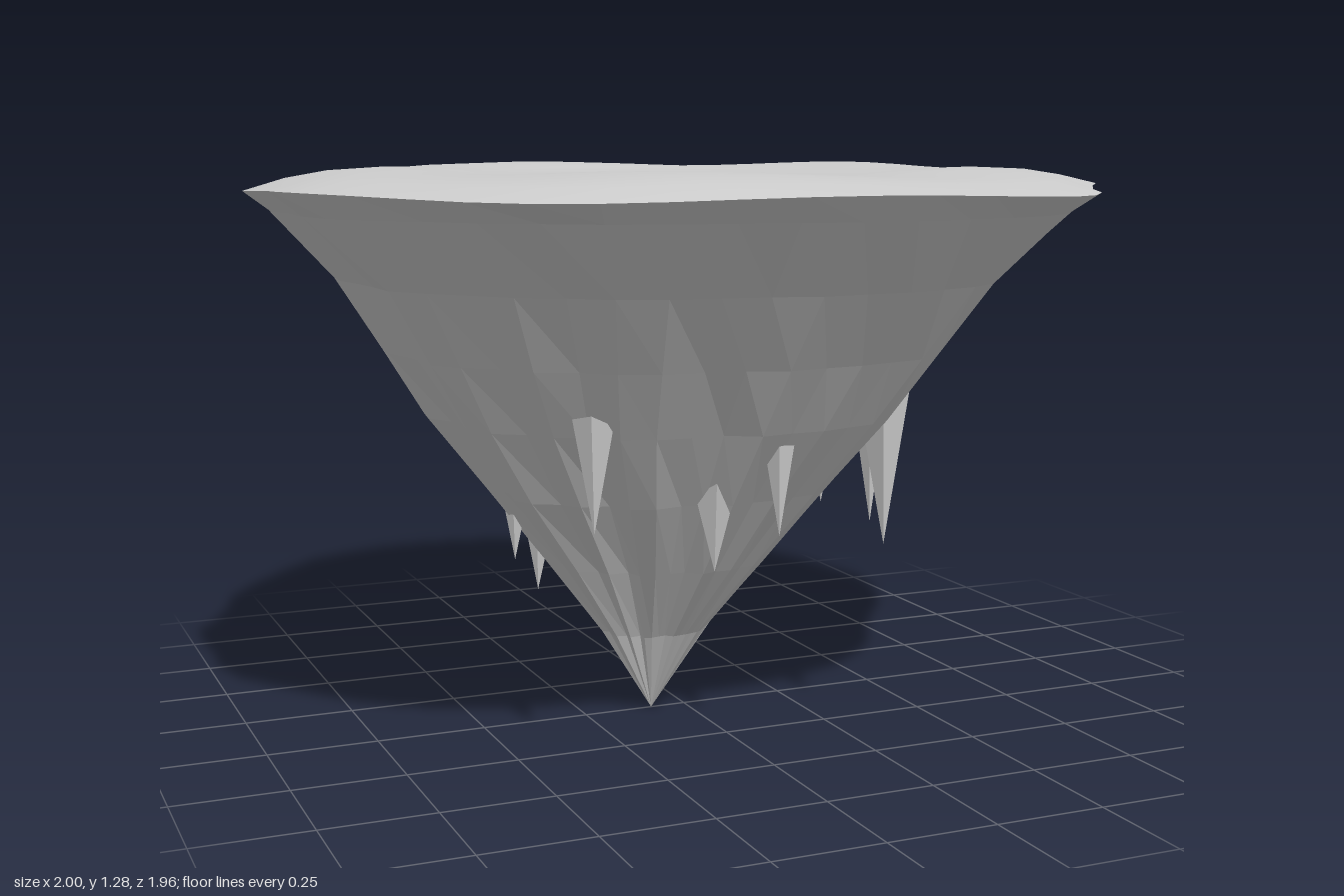
import * as THREE from 'three';

const stone = new THREE.MeshStandardMaterial({ color: 0xcccccc });
stone.name = 'grey stone';

// Rim outline as x, z pairs, running from +x towards +z
const OUTLINE = [
  [1, 0], [0.96, 0.2], [0.87, 0.38], [0.75, 0.53], [0.66, 0.7], [0.55, 0.82], [0.42, 0.9], [0.24, 0.955],
  [0, 0.975], [-0.14, 0.965], [-0.28, 0.94], [-0.45, 0.9], [-0.6, 0.83], [-0.71, 0.75], [-0.85, 0.58],
  [-0.96, 0.42], [-1, 0.31], [-0.985, 0.1], [-1, -0.08], [-0.89, -0.28], [-0.84, -0.46], [-0.77, -0.57],
  [-0.6, -0.77], [-0.53, -0.85], [-0.25, -0.97], [-0.06, -0.98], [0.05, -0.97], [0.25, -0.92],
  [0.5, -0.83], [0.63, -0.76], [0.84, -0.59], [0.9, -0.41], [0.95, -0.25], [0.97, -0.14],
];
const N = 48;
const RIM = new THREE.CatmullRomCurve3(OUTLINE.map(([x, z]) => new THREE.Vector3(x, 0, z)), true)
  .getSpacedPoints(N).slice(0, N).map((p) => [p.x, p.z]);
const APEX_X = -0.085;
const RIM_Y = 1.235;

let seed = 7;
const rand = () => {
  seed = (seed * 16807) % 2147483647;
  return seed / 2147483647 - 0.5;
};

const rimHeight = (j) => RIM_Y + 0.006 * Math.sin((j / N) * Math.PI * 10);

// Skin a list of closed rings, each an array of N points
function skin(rings) {
  const index = [];
  for (let i = 0; i < rings.length - 1; i++) {
    for (let j = 0; j < N; j++) {
      const k = (j + 1) % N;
      const a = i * N + j, b = i * N + k, c = a + N, d = b + N;
      index.push(a, b, c, b, d, c);
    }
  }
  const geo = new THREE.BufferGeometry();
  geo.setAttribute('position', new THREE.Float32BufferAttribute(rings.flat(2), 3));
  geo.setIndex(index);
  return geo;
}

function flat(geo) {
  const g = geo.toNonIndexed();
  g.computeVertexNormals();
  return g;
}

// Gently rolling ground: flat middle, low ring of swells, drooping rim
function makeGround() {
  const profile = [[0, 1.26], [0.25, 1.26], [0.46, 1.26], [0.53, 1.268], [0.6, 1.275],
    [0.7, 1.276], [0.82, 1.271], [0.91, 1.258], [1, RIM_Y]];
  const rings = profile.map(([t, y]) => RIM.map(([x, z], j) => {
    const a = Math.atan2(z, x);
    const swell = t > 0.46 && t < 1 ? 0.006 * Math.sin(a * 5 + t * 6) * Math.sin((t - 0.45) * 5.7) : 0;
    const r = t / (1 + (1 - t) * (Math.hypot(x, z) - 0.97));
    return [x * r, t === 1 ? rimHeight(j) : y + swell, z * r];
  }));
  const geo = skin(rings);
  geo.computeVertexNormals();
  return geo;
}

// Faceted rock tapering to an off-centre point: y, x scale, z scale per ring
function makeRock() {
  const profile = [[RIM_Y, 1, 1], [1.19, 0.94, 0.94], [1.04, 0.785, 0.785], [0.88, 0.67, 0.65],
    [0.73, 0.565, 0.53], [0.56, 0.42, 0.4], [0.38, 0.265, 0.255], [0.2, 0.125, 0.11], [0, 0, 0]];
  const ridge = RIM.map(() => rand() * 0.09);
  const rings = profile.map(([y, sx, sz], i) => RIM.map(([x, z], j) => {
    if (i === 0) return [x, rimHeight(j), z];
    const rough = 1 + (ridge[j] * i * (i + 4)) / 32 + rand() * 0.006 * i;
    const shift = APEX_X * (1 - y / RIM_Y);
    return [x * sx * rough + shift, y, z * sz * rough];
  }));
  return flat(skin(rings));
}

// Hanging spikes: tip x, y, z, then top height and radius
const SPIKES = [
  [0.49, 0.41, 0.02, 0.82, 0.06], [0.325, 0.44, 0.385, 0.81, 0.065], [0.38, 0.46, -0.03, 0.65, 0.04],
  [0.02, 0.5, 0.475, 0.73, 0.04], [-0.39, 0.53, 0.44, 0.76, 0.045], [-0.42, 0.39, 0, 0.58, 0.04],
  [-0.345, 0.3, -0.06, 0.49, 0.04], [-0.085, 0.41, 0.37, 0.61, 0.055], [-0.33, 0.44, -0.33, 0.64, 0.045],
];

function makeSpike([x, y, z, top, radius], i) {
  const h = top - y;
  const geo = new THREE.ConeGeometry(radius, h, 5);
  geo.rotateX(Math.PI);
  geo.translate(0, h / 2, 0);
  geo.rotateY(i * 1.3);
  // Tilt the blunt end up towards the rock's outside
  const p = geo.attributes.position;
  const len = Math.hypot(x, z);
  for (let k = 0; k < p.count; k++) {
    const out = (p.getX(k) * x + p.getZ(k) * z) / len;
    if (p.getY(k) > h * 0.5) p.setY(k, p.getY(k) + out * 0.6);
  }
  const mesh = new THREE.Mesh(flat(geo), stone);
  mesh.position.set(x, y, z);
  mesh.name = 'hangingSpike' + (i + 1);
  return mesh;
}

export function createModel() {
  seed = 7;
  const model = new THREE.Group();
  model.name = 'floatingIsland';

  const ground = new THREE.Mesh(makeGround(), stone);
  ground.name = 'groundTop';
  const rock = new THREE.Mesh(makeRock(), stone);
  rock.name = 'rockUnderside';
  const spikes = new THREE.Group();
  spikes.name = 'hangingSpikes';
  SPIKES.forEach((s, i) => spikes.add(makeSpike(s, i)));

  model.add(ground, rock, spikes);
  return model;
}
